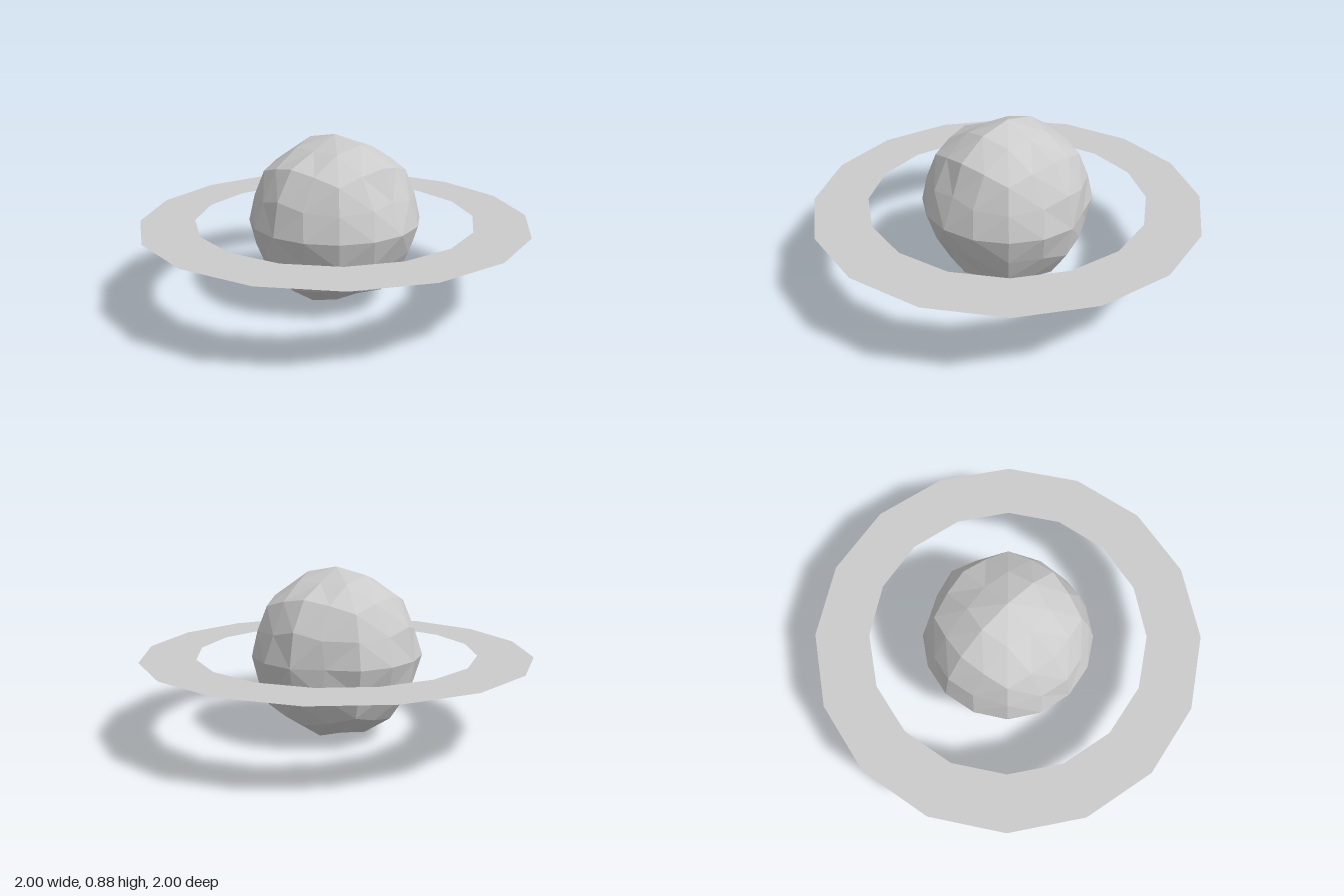
import * as THREE from 'three';

const RADIUS = 0.442;
const CENTRE_Y = 0.445;

// Edges that stay straight instead of bulging: from the first axis towards the second
const FLAT = new Set(['+y+z', '+y-z', '+x+y', '+x-y', '-y+x', '-z-x']);

function makeGlobe() {
  const axes = ['x', 'y', 'z'];
  const positions = [];

  const dir = (...names) => {
    const v = new THREE.Vector3();
    names.forEach((n) => { v[n[1]] = n[0] === '+' ? 1 : -1; });
    return v.setLength(RADIUS);
  };
  // Midpoint of an edge, pushed out towards the sphere by the given share
  const middle = (a, b, bulge) => {
    const m = a.clone().add(b).multiplyScalar(0.5);
    return m.setLength(THREE.MathUtils.lerp(m.length(), RADIUS, bulge));
  };
  // Add a triangle, turned to face outwards
  const addFace = (a, b, c) => {
    const outward = a.dot(new THREE.Vector3().crossVectors(b, c)) > 0;
    (outward ? [a, b, c] : [a, c, b]).forEach((v) => positions.push(v.x, v.y, v.z));
  };

  // Each of the 48 sectors spans a pole, an edge middle and a corner of a rounded cube
  for (const a of axes) for (const b of axes) for (const c of axes) {
    if (a === b || b === c || a === c) continue;
    for (const sa of '+-') for (const sb of '+-') for (const sc of '+-') {
      const pole = dir(sa + a);
      const edge = dir(sa + a, sb + b);
      const corner = dir(sa + a, sb + b, sc + c);
      const poleEdge = middle(pole, edge, FLAT.has(sa + a + sb + b) ? 0 : 1);
      const poleCorner = middle(pole, corner, 0.6);
      const edgeCorner = middle(edge, corner, 0.5);
      addFace(pole, poleEdge, poleCorner);
      addFace(poleEdge, edge, edgeCorner);
      addFace(poleCorner, edgeCorner, corner);
      addFace(poleEdge, edgeCorner, poleCorner);
    }
  }
  const geometry = new THREE.BufferGeometry();
  geometry.setAttribute('position', new THREE.Float32BufferAttribute(positions, 3));
  geometry.computeVertexNormals();
  return geometry;
}

export function createModel() {
  const model = new THREE.Group();
  model.name = 'ringedPlanet';

  // Faceted globe
  const globe = new THREE.Mesh(
    makeGlobe(),
    new THREE.MeshStandardMaterial({ color: 0xcccccc, flatShading: true })
  );
  globe.name = 'globe';
  globe.position.y = CENTRE_Y;
  model.add(globe);

  // Thin flat ring around the equator
  const ring = new THREE.Mesh(
    new THREE.RingGeometry(0.72, 1, 16).rotateX(-Math.PI / 2),
    new THREE.MeshStandardMaterial({ color: 0xcccccc, flatShading: true, side: THREE.DoubleSide })
  );
  ring.name = 'ring';
  ring.position.y = CENTRE_Y;
  model.add(ring);

  return model;
}
